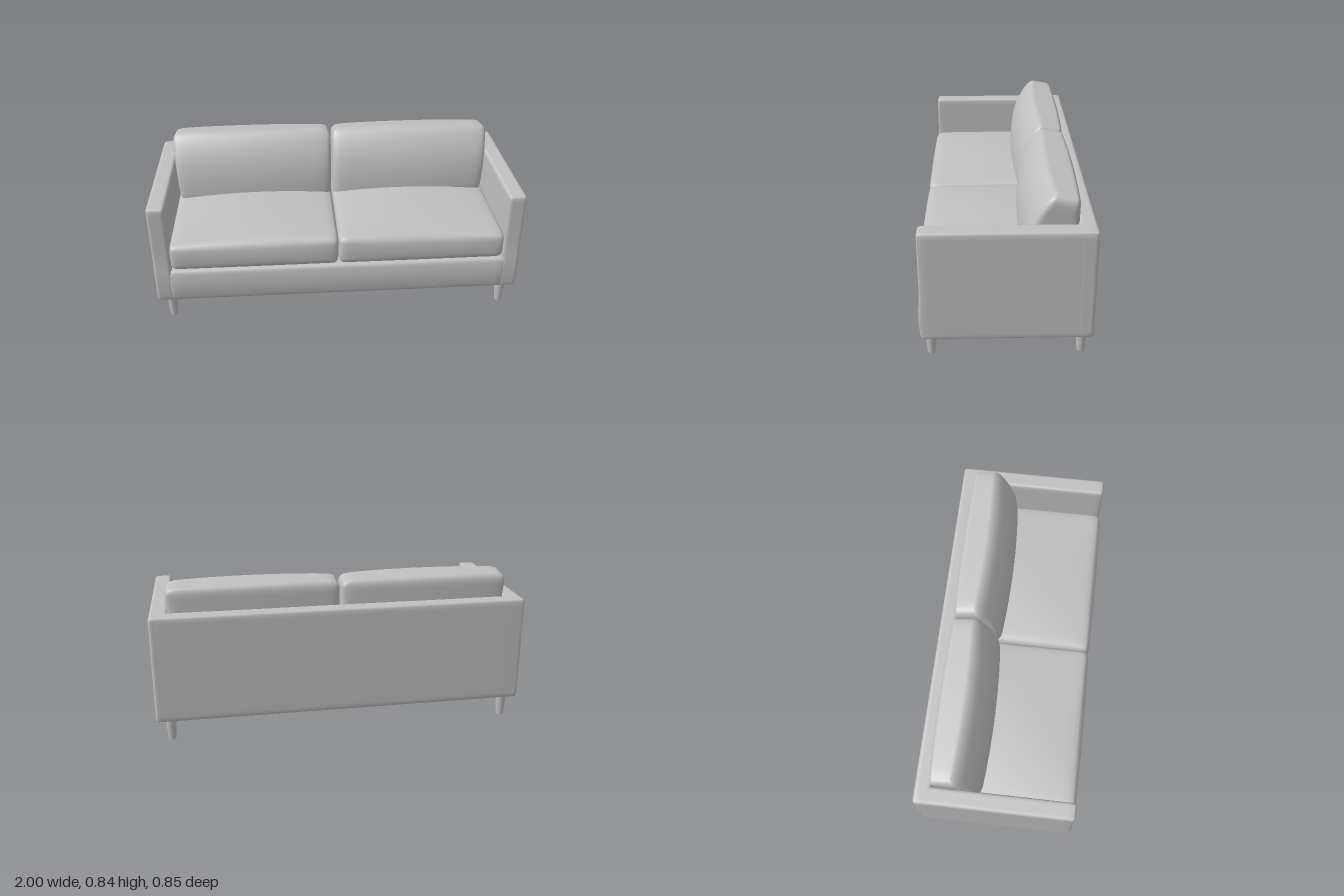
import * as THREE from 'three';
import { mergeVertices } from 'three/addons/utils/BufferGeometryUtils.js';

// Rounded box with a fine grid, denser at the edges, so that it can be puffed and bent.
function softBox(w, h, d, r, deform, n = 20) {
  let geo = new THREE.BoxGeometry(2, 2, 2, n, n, n);
  geo.deleteAttribute('uv');
  geo.deleteAttribute('normal');
  geo = mergeVertices(geo, 1e-4);
  const half = new THREE.Vector3(w / 2, h / 2, d / 2);
  const inner = half.clone().subScalar(r);
  const pos = geo.attributes.position;
  const p = new THREE.Vector3(), core = new THREE.Vector3();
  for (let i = 0; i < pos.count; i++) {
    p.fromBufferAttribute(pos, i);
    for (const a of ['x', 'y', 'z']) p[a] = Math.sin(p[a] * Math.PI / 2) * half[a];
    core.copy(p).clamp(inner.clone().negate(), inner);
    p.sub(core).setLength(r).add(core);
    if (deform) deform(p);
    pos.setXYZ(i, p.x, p.y, p.z);
  }
  geo.computeVertexNormals();
  return geo;
}

// 1 in the middle of a span, 0 at its ends
const dome = (v, size) => Math.max(0, 1 - (2 * v / size) ** 2);

export function createModel() {
  const group = new THREE.Group();
  const fabric = new THREE.MeshStandardMaterial({ color: 0xc0c0c0 });
  fabric.name = 'greyFabric';

  const add = (name, geo, x, y, z) => {
    const mesh = new THREE.Mesh(geo, fabric);
    mesh.name = name;
    mesh.position.set(x, y, z);
    group.add(mesh);
  };

  // Base with a slightly padded front
  add('base', softBox(1.84, 0.195, 0.80, 0.02, (p) => {
    if (p.z > 0) p.z += 0.014 * dome(p.y, 0.195);
  }), 0, 0.2175, 0.012);

  // Back panel
  add('backPanel', softBox(2, 0.58, 0.09, 0.02), 0, 0.408, -0.381);

  for (const side of [1, -1]) {
    const label = side > 0 ? 'left' : 'right';

    // Arm, lightly padded low on its front
    add(label + 'Arm', softBox(0.095, 0.58, 0.835, 0.018, (p) => {
      if (p.z > 0.3 && p.y < 0) p.z += 0.008 * dome(p.y + 0.17, 0.24);
    }), side * 0.952, 0.408, -0.008);

    // Seat cushion with a domed top
    const sw = 0.905, sh = 0.155, sd = 0.78;
    add(label + 'SeatCushion', softBox(sw, sh, sd, 0.035, (p) => {
      const inward = 0.5 - p.x * side / sw;
      if (p.y > 0) p.y += 0.04 * dome(p.x, sw) * dome(p.z + 0.08, 1.0) + 0.012 * inward;
      if (p.z > 0) p.z += 0.012 * dome(p.y, sh) * (0.5 + 0.5 * dome(p.x, sw));
    }), side * 0.4535, 0.393, 0.025);

    // Back cushion: leaning front, thick foot, narrower top
    const bw = 0.895, bh = 0.40, bd = 0.27;
    add(label + 'BackCushion', softBox(bw, bh, bd, 0.042, (p) => {
      const s = p.y / bh + 0.5, f = p.z / bd + 0.5, mid = dome(p.x, bw);
      const front = -0.095 + 0.025 * mid - 0.125 * s ** 3;
      const back = -0.345 - 0.01 * mid;
      p.z = back + (front - back) * f;
      p.y += s * (0.012 * Math.sqrt(mid) - 0.012 - 0.025 * (1 - f));
      if (p.x * side > 0) p.x += side * (0.025 * s - 0.01) * Math.abs(2 * p.x / bw);
    }), side * 0.4525, 0.648, 0);

    // Tapered round legs
    for (const [end, z] of [['Front', 0.366], ['Back', -0.372]]) {
      add(label + end + 'Leg', new THREE.CylinderGeometry(0.029, 0.02, 0.125, 20),
        side * 0.925, 0.0625, z);
    }
  }
  return group;
}
